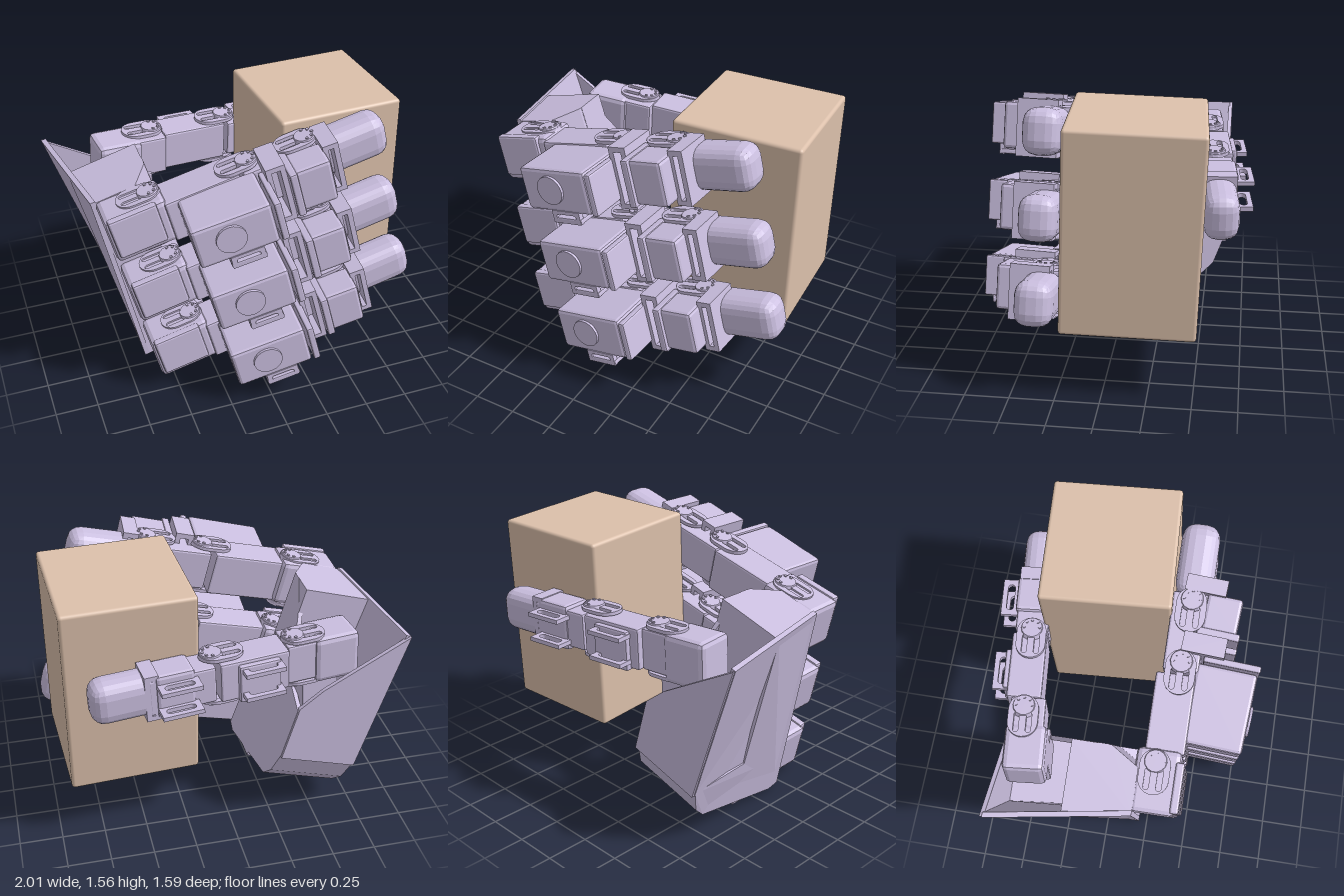
import * as THREE from 'three';
import { RoundedBoxGeometry } from 'three/addons/geometries/RoundedBoxGeometry.js';

const shell = new THREE.MeshStandardMaterial({ color: 0xcbbfe0, flatShading: true, side: THREE.DoubleSide });
const carton = new THREE.MeshStandardMaterial({ color: 0xdcc0ab });

function add(parent, name, geometry, x = 0, y = 0, z = 0, material = shell) {
  const mesh = new THREE.Mesh(geometry, material);
  mesh.name = name;
  mesh.position.set(x, y, z);
  parent.add(mesh);
  return mesh;
}

// Bevelled block given by its limits on each axis
function block(parent, name, [x0, x1], [y0, y1], [z0, z1], r = 0.012, seg = 1) {
  const g = new RoundedBoxGeometry(x1 - x0, y1 - y0, z1 - z0, seg, r);
  return add(parent, name, g, (x0 + x1) / 2, (y0 + y1) / 2, (z0 + z1) / 2);
}

function polygon(points) {
  return new THREE.Shape(points.map(([x, y]) => new THREE.Vector2(x, y)));
}

function extrude(shape, depth) {
  return new THREE.ExtrudeGeometry(shape, { depth, bevelEnabled: false, curveSegments: 6 });
}

function stadium(path, w, h, x = 0, y = 0) {
  const r = h / 2, a = w / 2 - r;
  path.absarc(x + a, y, r, -Math.PI / 2, Math.PI / 2, false);
  path.absarc(x - a, y, r, Math.PI / 2, Math.PI * 1.5, false);
  path.closePath();
  return path;
}

// Rectangular plate with a long rounded slot
function slotPlate(w, h, depth) {
  const s = polygon([[-w / 2, -h / 2], [w / 2, -h / 2], [w / 2, h / 2], [-w / 2, h / 2]]);
  s.holes.push(stadium(new THREE.Path(), w * 0.72, h * 0.42));
  return extrude(s, depth);
}

// Open rectangular frame wrapping the end of a motor
function frame(parent, name, [x0, x1], h, [z0, z1], bar = 0.03) {
  const s = polygon([[x0, -h], [x1, -h], [x1, h], [x0, h]]);
  s.holes.push(polygon([[x0 + bar, -h + bar], [x0 + bar, h - bar], [x1 - bar, h - bar], [x1 - bar, -h + bar]]));
  add(parent, name, extrude(s, z1 - z0), 0, 0, z0);
}

// Joint: slotted arm plate and bolted disc on both faces of a link
function joint(parent, x, z, h) {
  const arm = stadium(new THREE.Shape(), 0.25, 0.17);
  for (const y of [-0.035, 0.035]) arm.holes.push(stadium(new THREE.Path(), 0.12, 0.03, -0.04, y));
  for (const side of [-1, 1]) {
    const plate = add(parent, 'jointArm', extrude(arm, 0.02), x - 0.04, side * h - 0.01, z);
    plate.rotation.x = -Math.PI / 2;
    add(parent, 'jointDisc', new THREE.CylinderGeometry(0.06, 0.07, 0.03, 14), x + 0.02, side * (h + 0.004), z);
    for (let i = 0; i < 5; i++) {
      const a = -Math.PI / 2 + (i * Math.PI) / 4;
      add(parent, 'jointBolt', new THREE.CylinderGeometry(0.009, 0.009, 0.04, 6),
        x + 0.02 + Math.cos(a) * 0.045, side * (h + 0.006), z + Math.sin(a) * 0.045);
    }
  }
}

function fingertip(parent, x0, x1, z0, z1) {
  block(parent, 'fingertip', [x0, x1], [-0.13, 0.125], [z0, z1], 0.08, 2);
}

function makeFinger() {
  const f = new THREE.Group();
  f.name = 'finger';
  // Knuckle motor
  block(f, 'knuckleMotor', [-0.66, -0.3], [-0.13, 0.15], [0.18, 0.43], 0.03);
  block(f, 'knuckleCover', [-0.64, -0.36], [-0.09, 0.16], [0.4, 0.45]);
  joint(f, -0.39, 0.29, 0.15);
  // Links and their joints
  block(f, 'firstLink', [-0.32, 0.12], [-0.13, 0.13], [0.22, 0.44]);
  joint(f, 0.17, 0.35, 0.14);
  block(f, 'secondLink', [0.14, 0.58], [-0.12, 0.12], [0.25, 0.45]);
  joint(f, 0.52, 0.36, 0.14);
  // Forward motors, leaning slightly outwards
  const m = new THREE.Group();
  m.name = 'forwardMotors';
  m.rotation.y = -0.07;
  f.add(m);
  block(m, 'middleMotor', [-0.22, 0.23], [-0.135, 0.12], [0.42, 0.76], 0.02);
  block(m, 'middleMotorCap', [0.24, 0.28], [-0.13, 0.115], [0.45, 0.77], 0.01);
  const disc = add(m, 'motorDisc', new THREE.CylinderGeometry(0.085, 0.085, 0.03, 20), -0.02, 0.0, 0.76);
  disc.rotation.x = Math.PI / 2;
  add(m, 'lowerTab', slotPlate(0.19, 0.075, 0.03), 0.04, -0.165, 0.73);
  block(m, 'lowerTabWeb', [-0.06, 0.14], [-0.2, -0.17], [0.56, 0.76], 0.008);
  frame(m, 'firstBracket', [0.27, 0.38], 0.185, [0.32, 0.56]);
  block(m, 'outerMotor', [0.41, 0.62], [-0.13, 0.135], [0.4, 0.6], 0.02);
  block(m, 'outerMotorCap', [0.38, 0.425], [-0.14, 0.14], [0.38, 0.62], 0.01);
  frame(m, 'secondBracket', [0.61, 0.7], 0.16, [0.27, 0.5]);
  fingertip(f, 0.57, 0.99, 0.25, 0.465);
  return f;
}

function makeThumb() {
  const t = new THREE.Group();
  t.name = 'thumb';
  block(t, 'baseMotor', [-0.73, -0.46], [-0.15, 0.13], [-0.085, 0.15], 0.03);
  block(t, 'baseBracket', [-0.62, -0.4], [-0.4, -0.1], [-0.04, 0.15]);
  block(t, 'baseLink', [-0.5, -0.3], [-0.12, 0.12], [-0.07, 0.13]);
  joint(t, -0.38, 0.01, 0.135);
  block(t, 'firstLink', [-0.3, 0.1], [-0.12, 0.12], [-0.1, 0.1]);
  block(t, 'middleMotorCap', [-0.24, 0.0], [-0.13, 0.1], [-0.13, -0.07]);
  joint(t, 0.1, 0.01, 0.135);
  block(t, 'secondLink', [0.12, 0.5], [-0.11, 0.11], [-0.09, 0.1]);
  block(t, 'outerMotor', [0.24, 0.46], [-0.135, 0.135], [-0.1, 0.08], 0.02);
  frame(t, 'outerBracket', [0.44, 0.52], 0.14, [-0.09, 0.08]);
  for (const x of [-0.13, 0.34]) {
    for (const y of [-0.09, 0.06]) {
      const tab = add(t, 'sideTab', slotPlate(0.23, 0.1, 0.025), x, y, -0.14);
      tab.rotation.x = -Math.PI / 2;
    }
  }
  fingertip(t, 0.42, 0.81, -0.09, 0.105);
  return t;
}

// The outer side of the palm leans outwards towards the top of the back
function leanOuterSide(g) {
  const p = g.attributes.position;
  for (let i = 0; i < p.count; i++) {
    const t = (p.getY(i) - 0.2) / 1.2;
    if (p.getX(i) < -0.4) p.setX(i, p.getX(i) + 0.166 * p.getZ(i) * t - 0.065 * (1 - t));
  }
  g.computeVertexNormals();
  return g;
}

// Extrude a (z, height) profile between two x limits
function acrossPalm(points, x0, x1) {
  return leanOuterSide(extrude(polygon(points), x1 - x0).rotateY(-Math.PI / 2).translate(x1, 0, 0));
}

function makePalm() {
  const p = new THREE.Group();
  p.name = 'palm';
  // Front body with a chamfered inner corner
  const plan = polygon([[-0.53, 0.2], [-0.14, 0.2], [-0.14, -0.02], [-0.24, -0.18], [-0.53, -0.18]]);
  add(p, 'palmFront', leanOuterSide(extrude(plan, 1.18).rotateX(-Math.PI / 2).translate(0, 0.22, 0)));
  // Rounded floor and the thin outer wall share their underside curve
  const underside = [[0.2, 0.2], [0.13, 0.18], [-0.48, 0.3], [-0.56, 0.38], [-0.62, 0.54]];
  add(p, 'palmBase', acrossPalm([...underside, [0.0, 0.54], [0.18, 0.4]], -0.53, -0.14));
  add(p, 'outerWall', acrossPalm([...underside, [-0.62, 1.41], [0.18, 1.41]], -0.535, -0.505));
  // Inner wall, cut away at the back for the thumb
  add(p, 'innerWall', acrossPalm([[-0.62, 0.52], [-0.62, 0.84], [-0.42, 0.9], [-0.2, 1.25], [-0.05, 1.4],
    [0.0, 1.4], [0.0, 0.52]], -0.165, -0.138));
  // Back wall with a sloping top edge
  const back = polygon([[-0.53, 0.52], [-0.14, 0.52], [-0.14, 0.86], [-0.24, 1.0], [-0.53, 1.41]]);
  add(p, 'backWall', leanOuterSide(extrude(back, 0.025).translate(0, 0, -0.635)));
  p.rotation.z = 0.285;
  return p;
}

export function createModel() {
  const model = new THREE.Group();
  model.add(makePalm());

  // Three matching fingers stacked along the palm, with slotted tabs between them
  for (let i = 0; i < 3; i++) {
    const finger = makeFinger();
    if (i > 0) add(finger, 'mountTab', slotPlate(0.18, 0.11, 0.03), -0.56, -0.2, 0.2);
    finger.position.set(0.03 - i * 0.105, 0.317 + i * 0.45, 0.012 - i * 0.016);
    finger.rotation.set(-0.03, 0, 0.242);
    model.add(finger);
  }

  const thumb = makeThumb();
  thumb.position.set(0, 1.05, -0.555);
  thumb.rotation.set(0, 0.1, -0.04);
  model.add(thumb);

  // Carton held between fingers and thumb
  const held = add(model, 'heldBox', new RoundedBoxGeometry(0.75, 1.15, 0.745, 3, 0.02), 0.568, 0.95, -0.142, carton);
  held.rotation.set(-0.035, 0.055, -0.003);
  return model;
}
